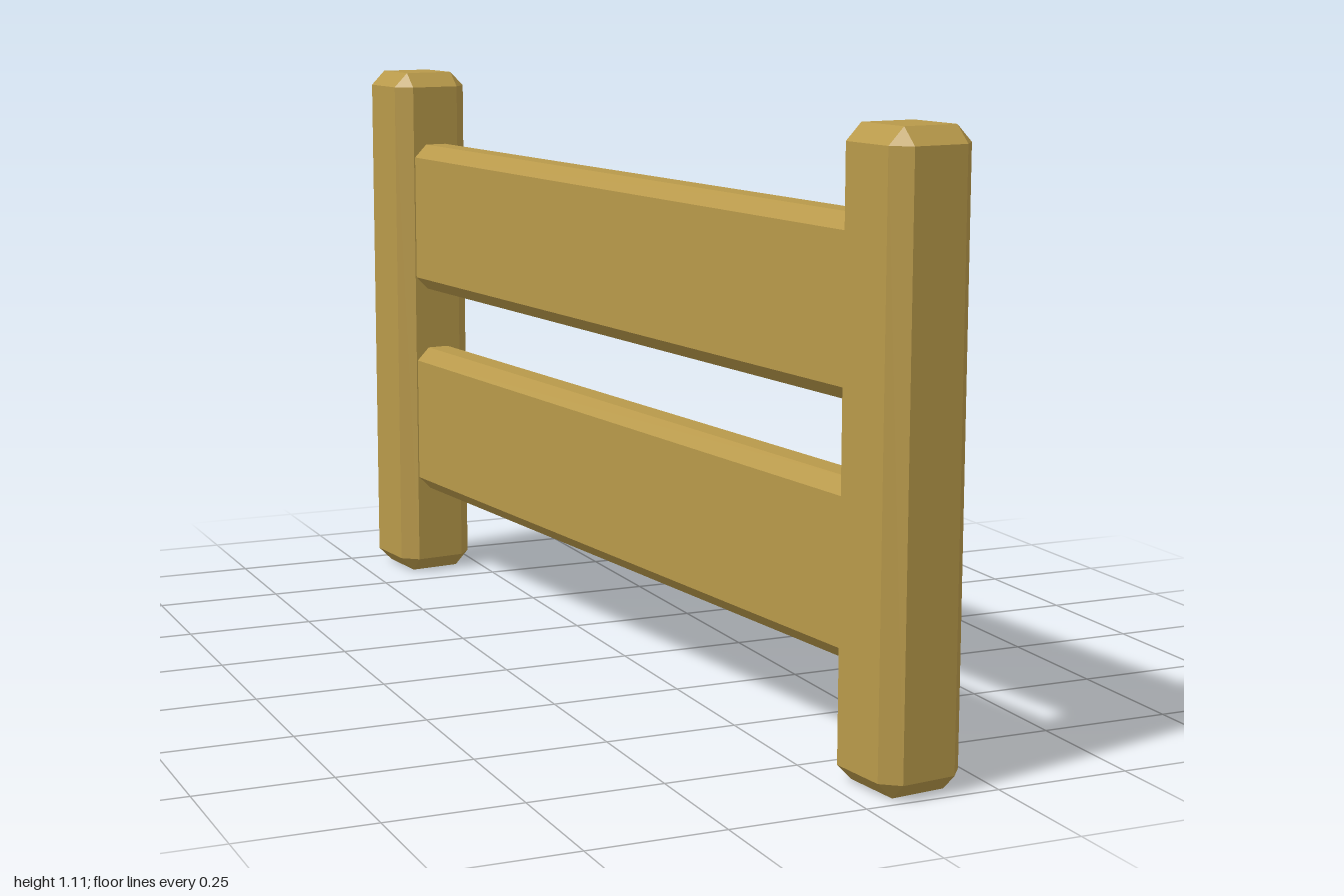
import * as THREE from 'three';
import { ConvexGeometry } from 'three/addons/geometries/ConvexGeometry.js';

// Box with every edge cut at 45 degrees, centred on the origin
function chamferedBox(w, h, d, c) {
  const half = [w / 2, h / 2, d / 2];
  const points = [];
  for (const sx of [-1, 1]) for (const sy of [-1, 1]) for (const sz of [-1, 1]) {
    for (let axis = 0; axis < 3; axis++) {
      const p = half.map((v, i) => (i === axis ? v : v - c));
      points.push(new THREE.Vector3(p[0] * sx, p[1] * sy, p[2] * sz));
    }
  }
  return new ConvexGeometry(points);
}

export function createModel() {
  const wood = new THREE.MeshStandardMaterial({ color: 0xb8994a, flatShading: true });
  const fence = new THREE.Group();
  fence.name = 'fence';

  const add = (name, geometry, y, z) => {
    const mesh = new THREE.Mesh(geometry, wood);
    mesh.name = name;
    mesh.position.set(0, y, z);
    fence.add(mesh);
  };

  // Upright posts at both ends
  const postHeight = 1.11;
  const post = chamferedBox(0.165, postHeight, 0.177, 0.03);
  add('frontPost', post, postHeight / 2, 0.912);
  add('backPost', post, postHeight / 2, -0.912);

  // Two rails whose ends are sunk into the posts
  const rail = chamferedBox(0.1, 0.317, 1.76, 0.027);
  add('lowerRail', rail, 0.349, 0);
  add('upperRail', rail, 0.797, 0);

  // The fence stands slightly turned
  fence.rotation.y = 0.12;

  const model = new THREE.Group();
  model.name = 'fenceSection';
  model.add(fence);
  return model;
}
